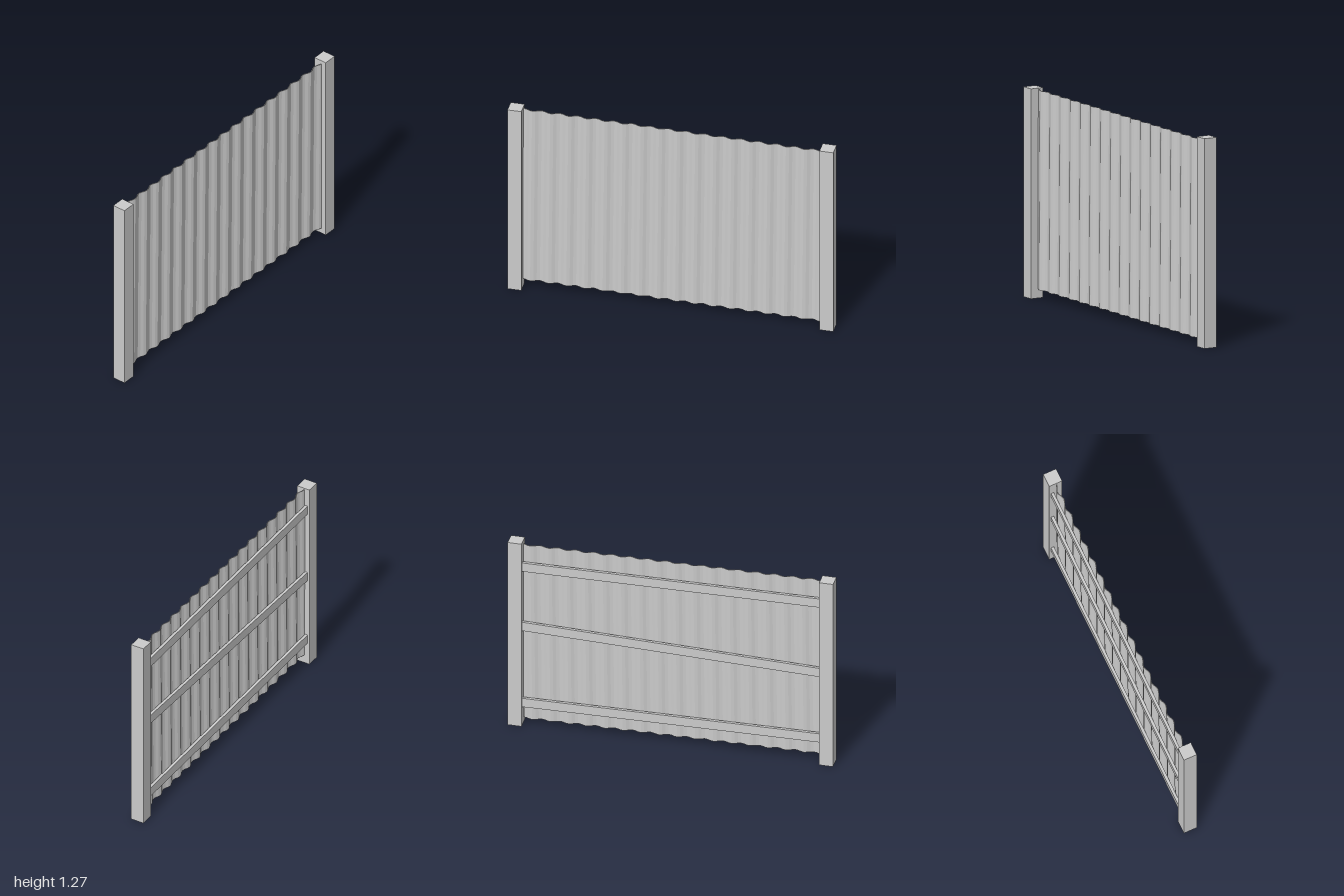
import * as THREE from 'three';

const HEIGHT = 1.275, POST = 0.085, SPAN = 1.836;
const grey = new THREE.MeshStandardMaterial({ color: 0xcccccc, side: THREE.DoubleSide, flatShading: true });

function addPart(group, name, geometry, x, y, z, tilt = 0) {
  const mesh = new THREE.Mesh(geometry, grey);
  mesh.name = name;
  mesh.position.set(x, y, z);
  mesh.rotation.z = tilt;
  group.add(mesh);
}

// Square hollow post, open underneath
function postGeometry() {
  const geo = new THREE.BoxGeometry(POST, HEIGHT, POST);
  const index = Array.from(geo.index.array);
  index.splice(18, 6); // bottom face
  geo.setIndex(index);
  geo.clearGroups();
  return geo;
}

// Thin wavy strip extruded to the sheet's height
function sheetGeometry(height) {
  const waves = 16.5, steps = 99, amplitude = 0.009, thickness = 0.004;
  const front = [], back = [];
  for (let i = 0; i <= steps; i++) {
    const u = i / steps;
    const z = -amplitude * Math.cos(u * waves * Math.PI * 2);
    const x = (u - 0.5) * SPAN;
    front.push(new THREE.Vector2(x, -z - thickness / 2));
    back.unshift(new THREE.Vector2(x, -z + thickness / 2));
  }
  const geo = new THREE.ExtrudeGeometry(new THREE.Shape([...front, ...back]), { depth: height, bevelEnabled: false });
  geo.translate(0, 0, -height / 2);
  geo.rotateX(-Math.PI / 2);
  return geo;
}

export function createModel() {
  const fence = new THREE.Group();
  fence.name = 'corrugatedFence';

  // Posts at both ends
  for (const side of [-1, 1]) {
    addPart(fence, side > 0 ? 'leftPost' : 'rightPost', postGeometry(), side * (1 - POST / 2), HEIGHT / 2, 0);
  }

  // Corrugated sheet, hanging slightly askew
  addPart(fence, 'corrugatedSheet', sheetGeometry(1.212), 0, 0.653, 0, -0.01);

  // Rails across the back, each a little crooked
  const rails = [['topRail', 1.115, -0.009], ['middleRail', 0.665, 0.03], ['bottomRail', 0.17, -0.011]];
  for (const [name, y, tilt] of rails) {
    addPart(fence, name, new THREE.BoxGeometry(SPAN, 0.06, 0.018), 0, y, -0.021, tilt);
  }
  return fence;
}
